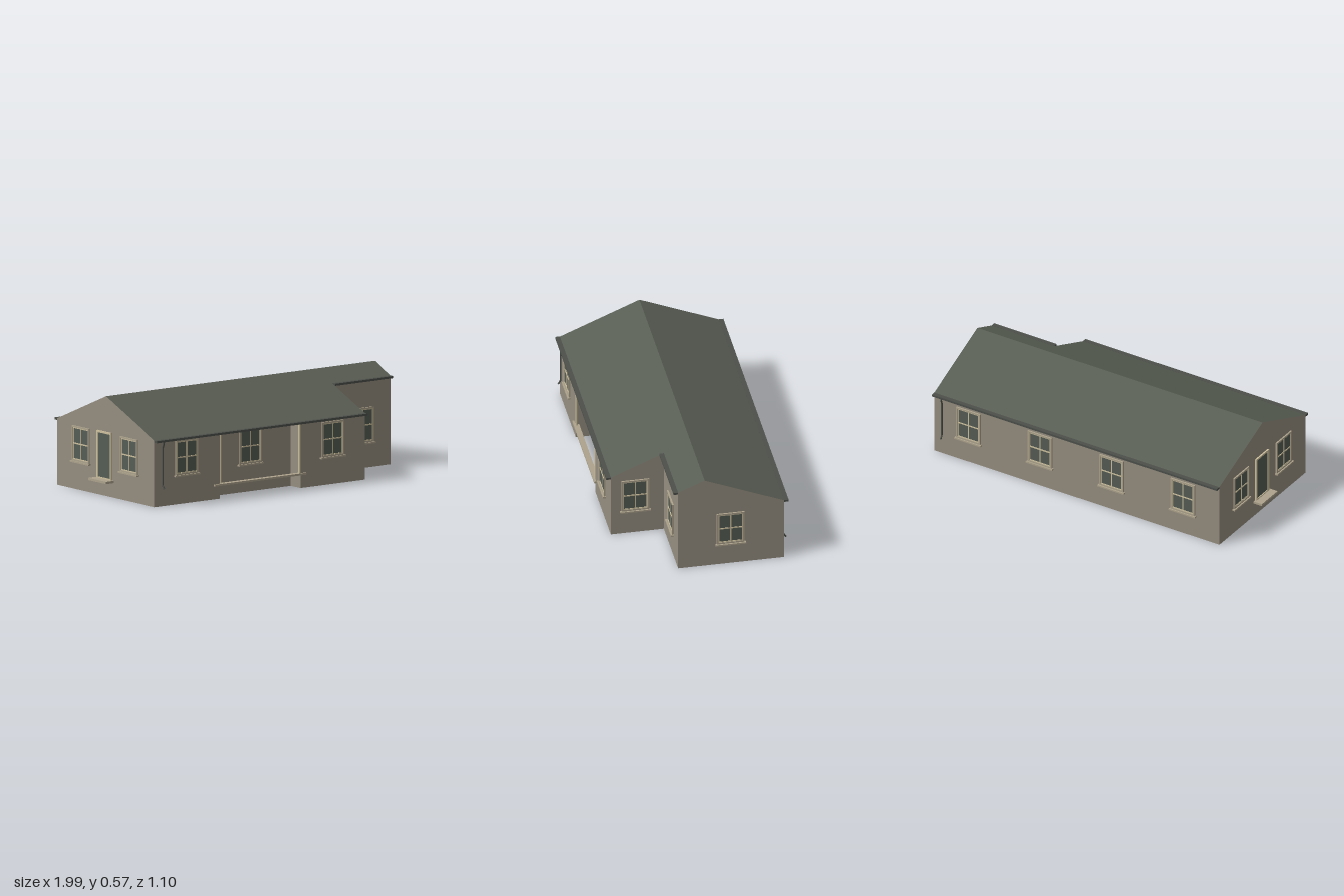
import * as THREE from 'three';

const mat = (name, color) => {
  const m = new THREE.MeshStandardMaterial({ color, side: THREE.DoubleSide });
  m.name = name;
  return m;
};

export function createModel() {
  const wallMat = mat('stone wall', 0x968e80);
  const roofMat = mat('slate roof', 0x595e54);
  const glassMat = mat('window glass', 0x565d55);
  const creamMat = mat('cream paint', 0xcfc29f);
  const frameMat = mat('window surround', 0xada38c);
  const gutterMat = mat('gutter', 0x4c504a);

  const house = new THREE.Group();
  house.name = 'house';

  // Main dimensions: length along x, depth along z
  const L = -0.94, R = 0.955, N = 0.54;          // left end, right end, notch
  const F = 0.476, W = 0.172, B = -0.435;        // front, wing front, back
  const RZ = 0.02, RY = 0.57, EY = 0.38;         // ridge and eaves
  const P0 = -0.478, P1 = 0.087, P = F - 0.09;   // porch recess
  const roofY = z => RY - (RY - EY) * Math.abs(z - RZ) / (F - RZ);

  function add(parent, name, geo, material, x = 0, y = 0, z = 0) {
    const m = new THREE.Mesh(geo, material);
    m.name = name;
    m.position.set(x, y, z);
    parent.add(m);
    return m;
  }
  const box = (parent, name, material, w, h, d, x, y, z) =>
    add(parent, name, new THREE.BoxGeometry(w, h, d), material, x, y, z);

  // Flat convex panel, corners counter-clockwise from outside
  function panel(name, material, pts) {
    const pos = [];
    for (let i = 1; i < pts.length - 1; i++) pos.push(...pts[0], ...pts[i], ...pts[i + 1]);
    const g = new THREE.BufferGeometry();
    g.setAttribute('position', new THREE.Float32BufferAttribute(pos, 3));
    g.computeVertexNormals();
    add(house, name, g, material);
  }
  // Upright wall between two plan points, top following the roof
  const wall = (name, x0, z0, x1, z1) => panel(name, wallMat,
    [[x0, 0, z0], [x1, 0, z1], [x1, roofY(z1), z1], [x0, roofY(z0), z0]]);

  // Walls
  wall('frontWallLeft', L, F, P0, F);
  wall('porchSideLeft', P0, F, P0, P);
  wall('porchWall', P0, P, P1, P);
  wall('porchSideRight', P1, P, P1, F);
  wall('frontWallRight', P1, F, N, F);
  wall('notchWall', N, F, N, W);
  wall('wingFrontWall', N, W, R, W);
  wall('backWall', R, B, L, B);
  panel('rightGable', wallMat,
    [[R, 0, W], [R, 0, B], [R, roofY(B), B], [R, RY, RZ], [R, roofY(W), W]]);
  panel('leftGable', wallMat,
    [[L, 0, B], [L, 0, F], [L, EY, F], [L, RY, RZ], [L, roofY(B), B]]);

  // Roof slopes
  const slope = (name, x0, x1, z) => panel(name, roofMat,
    [[x0, roofY(z), z], [x1, roofY(z), z], [x1, RY, RZ], [x0, RY, RZ]]);
  slope('frontRoof', L, N, F);
  slope('wingRoof', N, R, W);
  slope('backRoof', R, L, B);

  // Eaves gutters
  const gutter = (x0, x1, z, side) => box(house, 'gutter', gutterMat,
    x1 - x0, 0.012, 0.026, (x0 + x1) / 2, roofY(z) - 0.005, z + side * 0.013);
  gutter(L, N, F, 1);
  gutter(N, R, W, 1);
  gutter(L, R, B, -1);

  // Downpipes with a bend at both ends
  function downpipe(x, z, side) {
    const pts = [[0.015, 0.372], [0.015, 0.355], [0.007, 0.335], [0.007, 0.12], [0.02, 0.1]]
      .map(([d, y]) => new THREE.Vector3(x, y, z + side * d));
    const path = new THREE.CurvePath();
    for (let i = 0; i < pts.length - 1; i++) path.add(new THREE.LineCurve3(pts[i], pts[i + 1]));
    add(house, 'downpipe', new THREE.TubeGeometry(path, 40, 0.005, 8), gutterMat);
  }
  downpipe(-0.885, F, 1);
  downpipe(0.9, B, -1);

  // Rectangular ring for window and door frames
  function ring(w, h, t, depth) {
    const s = new THREE.Shape([[-1, -1], [1, -1], [1, 1], [-1, 1]]
      .map(([a, b]) => new THREE.Vector2(a * w / 2, b * h / 2)));
    s.holes.push(new THREE.Path([[-1, -1], [-1, 1], [1, 1], [1, -1]]
      .map(([a, b]) => new THREE.Vector2(a * (w / 2 - t), b * (h / 2 - t)))));
    return new THREE.ExtrudeGeometry(s, { depth, bevelEnabled: false });
  }

  function opening(name, x, y, z, turn) {
    const g = new THREE.Group();
    g.name = name;
    g.position.set(x, y, z);
    g.rotation.y = turn;
    house.add(g);
    return g;
  }

  // Four-pane window with sill; y is the bottom of the frame
  function makeWindow(x, y, z, turn) {
    const w = 0.158, h = 0.2;
    const g = opening('window', x, y + h / 2, z, turn);
    box(g, 'glass', glassMat, w - 0.01, h - 0.01, 0.003, 0, 0, 0.0015);
    add(g, 'surround', ring(w, h, 0.009, 0.009), frameMat);
    add(g, 'sash', ring(w - 0.018, h - 0.018, 0.005, 0.006), creamMat);
    box(g, 'mullion', creamMat, 0.007, h - 0.02, 0.006, 0, 0, 0.003);
    box(g, 'crossbar', creamMat, w - 0.02, 0.007, 0.006, 0, 0, 0.003);
    box(g, 'sill', frameMat, 0.174, 0.009, 0.017, 0, -h / 2 - 0.0045, 0.0085);
  }
  const q = Math.PI / 2;
  makeWindow(-0.714, 0.167, F, 0);
  makeWindow(-0.2, 0.16, P, 0);
  makeWindow(0.31, 0.16, F, 0);
  makeWindow(0.749, 0.145, W, 0);
  makeWindow(N, 0.15, 0.336, q);
  makeWindow(R, 0.137, -0.128, q);
  for (const x of [0.725, 0.25, -0.225, -0.7]) makeWindow(x, 0.14, B, 2 * q);
  for (const z of [-0.21, 0.238]) makeWindow(L, 0.162, z, -q);

  // Side door with step
  const door = opening('door', L, 0.23, 0.009, -q);
  box(door, 'doorLeaf', glassMat, 0.12, 0.265, 0.004, 0, 0, 0.002);
  add(door, 'doorFrame', ring(0.135, 0.275, 0.011, 0.009), creamMat);
  box(door, 'doorStep', frameMat, 0.165, 0.013, 0.055, 0, -0.14, 0.0275);

  // Porch posts and threshold beam
  for (const x of [-0.474, 0.083])
    add(house, 'porchPost', new THREE.CylinderGeometry(0.007, 0.007, 0.29, 12), creamMat, x, 0.225, F - 0.003);
  box(house, 'porchBeam', frameMat, 0.64, 0.011, 0.032, -0.2, 0.08, F - 0.004);

  house.rotation.y = -0.0923;
  const model = new THREE.Group();
  model.name = 'bungalow';
  model.add(house);
  return model;
}
